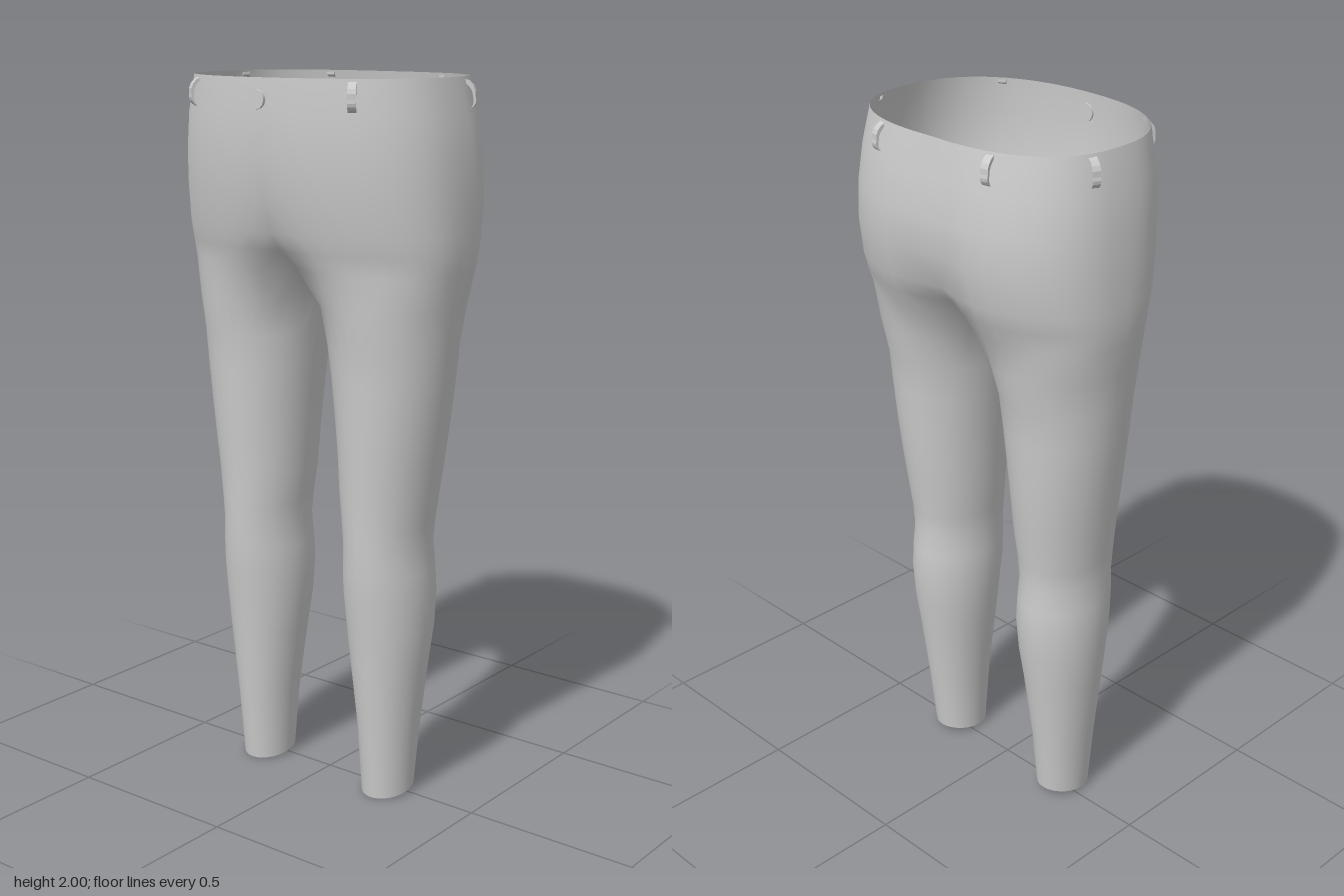
import * as THREE from 'three';
import { mergeVertices } from 'three/addons/utils/BufferGeometryUtils.js';

const ARC = 24;   // steps round the outside, front centre to back centre
const INNER = 8;  // steps round the inner thigh
const RING = ARC + INNER;

// leg sections: y, inner x, outer x, front z, back z
const LEG = [
  [0, 0.15, 0.29, 0.095, -0.07],
  [0.2, 0.14, 0.303, 0.112, -0.09],
  [0.4, 0.115, 0.325, 0.13, -0.115],
  [0.5, 0.102, 0.336, 0.138, -0.13],
  [0.6, 0.096, 0.339, 0.15, -0.139],
  [0.67, 0.098, 0.336, 0.155, -0.136],
  [0.74, 0.103, 0.33, 0.158, -0.13],
  [0.8, 0.097, 0.335, 0.16, -0.134],
  [0.9, 0.086, 0.347, 0.164, -0.147],
  [1.0, 0.08, 0.36, 0.17, -0.158],
  [1.1, 0.07, 0.373, 0.175, -0.167],
  [1.2, 0.058, 0.385, 0.18, -0.174],
  [1.3, 0.043, 0.395, 0.186, -0.182],
  [1.4, 0.021, 0.407, 0.202, -0.207],
];

// hip sections: y, outer x, front z, back z, front seam z, back seam z
const HIP = [
  [1.5, 0.425, 0.235, -0.245, 0.15, -0.15],
  [1.55, 0.428, 0.25, -0.267, 0.215, -0.205],
  [1.6, 0.43, 0.265, -0.285, 0.25, -0.245],
  [1.7, 0.427, 0.285, -0.304, 0.28, -0.285],
  [1.8, 0.421, 0.296, -0.303, 0.295, -0.292],
  [1.9, 0.408, 0.3, -0.289, 0.3, -0.281],
  [2.0, 0.385, 0.296, -0.269, 0.296, -0.265],
];

function legRing([y, xi, xo, zf, zb], hem) {
  const cx = (xi + xo) / 2, rx = (xo - xi) / 2, cz = (zf + zb) / 2, rz = (zf - zb) / 2;
  const ring = [];
  for (let j = 0; j < RING; j++) {
    const deg = j <= ARC ? -50 + 280 * j / ARC : 230 + 80 * (j - ARC) / INNER;
    const a = THREE.MathUtils.degToRad(deg);
    const c = Math.cos(a);
    ring.push([cx + rx * Math.sin(a), hem ? 0.01 * (1 - c) : y, cz + rz * c]);
  }
  return ring;
}

// half outline, pulled in near the centre seam
function hipArc([y, xo, zf, zb, seamF, seamB]) {
  const arc = [];
  for (let j = 0; j <= ARC; j++) {
    const a = Math.PI * j / ARC, front = j <= ARC / 2;
    const p = front ? 0.87 : 0.78;
    const x = xo * Math.pow(Math.abs(Math.sin(a)), p);
    const w = Math.max(0, 1 - x / 0.2) ** 2;
    let z = (front ? zf : zb) * Math.pow(Math.abs(Math.cos(a)), p);
    z -= w * (front ? zf - seamF : zb - seamB);
    arc.push([j % ARC ? x : 0, y, z]);
  }
  return arc;
}

function trousersGeometry() {
  const rows = LEG.map((s, i) => legRing(s, i === 0));
  const hips = HIP.map(hipArc);
  // the crotch curve closes the lowest hip section into a ring
  const join = hips[0].slice();
  for (let k = 1; k < INNER; k++) {
    const t = k / INNER;
    join.push([0, 1.44 + 0.06 * (2 * t - 1) ** 2, THREE.MathUtils.lerp(HIP[0][5], HIP[0][4], t)]);
  }
  rows.push(join, ...hips.slice(1));

  const pos = [], index = [], start = [];
  for (const side of [1, -1]) {
    rows.forEach((row, r) => {
      start[r] = pos.length / 3;
      row.forEach(([x, y, z]) => pos.push(side * x, y, z));
    });
    const tri = (a, b, c) => (side > 0 ? index.push(a, b, c) : index.push(a, c, b));
    for (let r = 0; r < rows.length - 1; r++) {
      const closed = r < LEG.length;
      const n = closed ? RING : ARC;
      for (let j = 0; j < n; j++) {
        const k = closed ? (j + 1) % RING : j + 1;
        const a = start[r] + j, b = start[r] + k, c = start[r + 1] + k, d = start[r + 1] + j;
        tri(a, b, d);
        tri(b, c, d);
      }
    }
  }
  let g = new THREE.BufferGeometry();
  g.setAttribute('position', new THREE.Float32BufferAttribute(pos, 3));
  g.setIndex(index);
  g = mergeVertices(g, 1e-4);
  g.computeVertexNormals();
  return g;
}

// bowed strap; outward is +x, lean is how far the foot stands out
function beltLoopGeometry(lean) {
  const s = new THREE.Shape();
  s.moveTo(-0.004, 1.995);
  s.quadraticCurveTo(0.022 + lean / 2, 1.98, 0.016 + lean * 0.6, 1.95);
  s.quadraticCurveTo(0.016 + lean, 1.93, lean - 0.004, 1.918);
  s.quadraticCurveTo(0.008 + lean, 1.935, 0.009 + lean * 0.6, 1.95);
  s.quadraticCurveTo(0.012 + lean / 2, 1.97, -0.004, 1.987);
  const g = new THREE.ExtrudeGeometry(s, { depth: 0.022, bevelEnabled: false, curveSegments: 4 });
  return g.translate(0, 0, -0.011);
}

export function createModel() {
  const model = new THREE.Group();
  model.name = 'trousers';
  const mat = new THREE.MeshStandardMaterial({ color: 0xcccccc, side: THREE.DoubleSide });
  const add = (name, geometry) => {
    const mesh = new THREE.Mesh(geometry, mat);
    mesh.name = name;
    model.add(mesh);
    return mesh;
  };

  add('cloth', trousersGeometry());

  // belt loops: x, z, outward direction in x and z, lean
  const loops = [
    ['FrontBeltLoop', 0.258, 0.238, 0.5, 0.87, 0.012],
    ['SideBeltLoop', 0.375, -0.09, 0.92, -0.38, 0.02],
    ['BackBeltLoop', 0.193, -0.25, 0.2, -0.98, 0.018],
  ];
  for (const [name, x, z, dx, dz, lean] of loops) {
    for (const side of [1, -1]) {
      const loop = add((side > 0 ? 'left' : 'right') + name, beltLoopGeometry(lean));
      loop.position.set(side * x, 0, z);
      loop.rotation.y = Math.atan2(-dz, side * dx);
    }
  }

  // waist button
  const button = add('button', new THREE.CylinderGeometry(0.025, 0.025, 0.014, 12));
  button.rotation.x = Math.PI / 2;
  button.position.set(0, 1.945, 0.299);

  return model;
}
